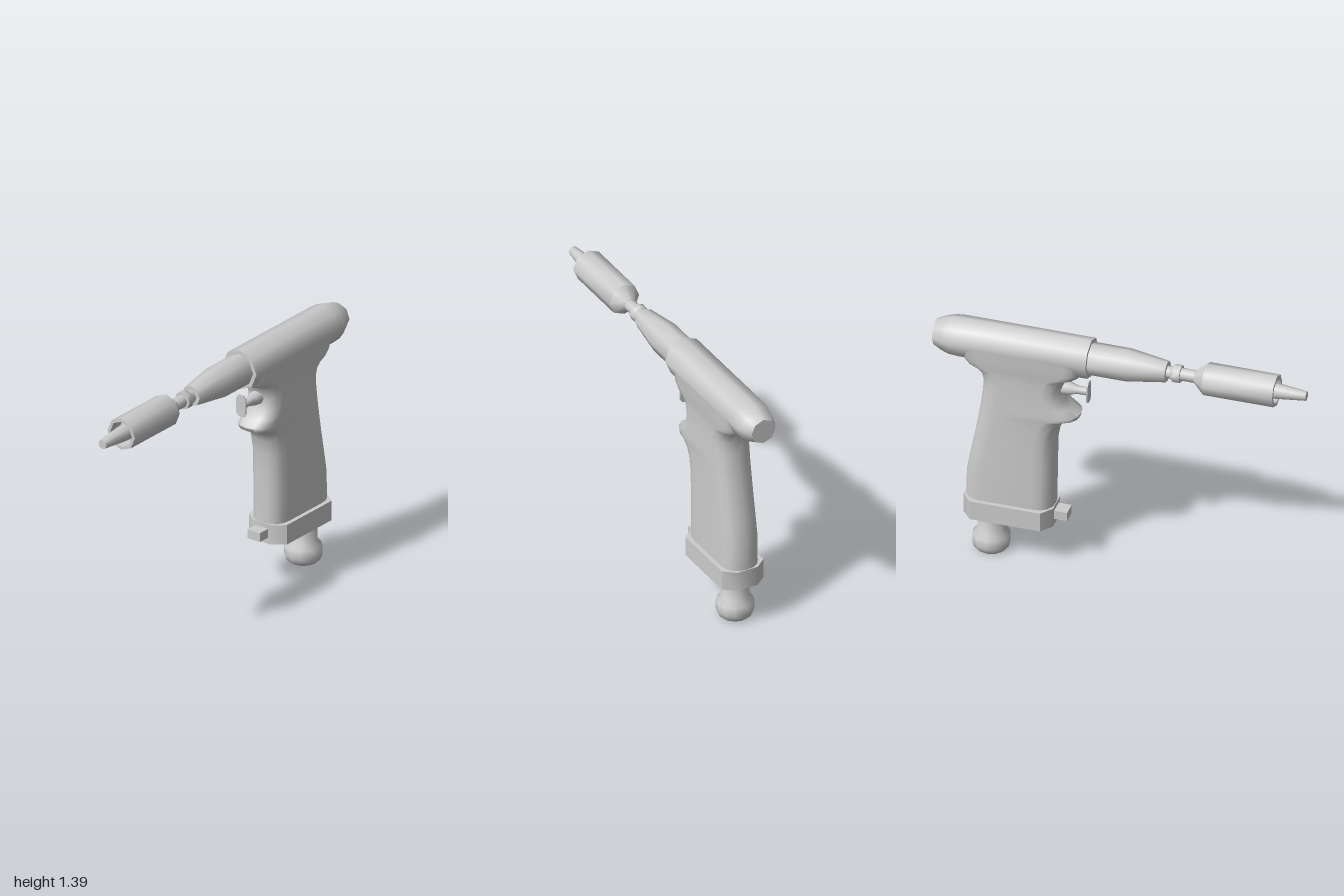
import * as THREE from 'three';
import { toCreasedNormals } from 'three/addons/utils/BufferGeometryUtils.js';

const material = new THREE.MeshStandardMaterial({ color: 0xcccccc });
const AXIS_Y = 1.28;

export function createModel() {
  const group = new THREE.Group();

  const add = (name, geometry, x = 0, y = 0, z = 0, crease = 0.87) => {
    const mesh = new THREE.Mesh(toCreasedNormals(geometry, crease), material);
    mesh.name = name;
    mesh.position.set(x, y, z);
    group.add(mesh);
  };
  const lathe = (points, sides) =>
    new THREE.LatheGeometry(points.map(([r, h]) => new THREE.Vector2(r, h)), sides);
  // Turned part lying along z; points are [radius, z] from back to front
  const turned = (name, points, sides = 8, y = AXIS_Y) =>
    add(name, lathe(points, sides).rotateX(Math.PI / 2), 0, y);
  const polygon = (points) => new THREE.Shape(points.map(([x, y]) => new THREE.Vector2(x, y)));

  // Motor housing with rounded rear
  turned('motorHousing', [[0, -1], [0.07, -1], [0.092, -0.955], [0.106, -0.91], [0.11, -0.86], [0.11, -0.16], [0, -0.16]]);

  // Nose, spindle and collar
  turned('nose', [[0.088, -0.17], [0.088, 0.04], [0.057, 0.25], [0, 0.25]]);
  turned('spindle', [[0.034, 0.24], [0.034, 0.42]]);
  turned('collar', [[0.03, 0.265], [0.042, 0.28], [0.048, 0.285], [0.048, 0.325], [0.03, 0.325]]);

  // Chuck: rear cone, hollow sleeve and tapered bit
  turned('chuckCone', [[0, 0.4], [0.035, 0.4], [0.088, 0.46]]);
  turned('chuckSleeve', [[0.088, 0.46], [0.088, 0.84], [0.07, 0.84], [0.062, 0.77], [0, 0.77]]);
  turned('bit', [[0.045, 0.77], [0.042, 0.84], [0.025, 1], [0, 1]]);

  // Grip: rounded sections [y, front z, back z, front cap depth, half width]
  const sections = [
    [0.3, -0.352, -0.83, 0.1, 0.1], [0.5, -0.35, -0.825, 0.1, 0.1],
    [0.62, -0.348, -0.803, 0.1, 0.1], [0.74, -0.345, -0.78, 0.1, 0.1],
    [0.82, -0.33, -0.766, 0.1, 0.1], [0.865, -0.31, -0.758, 0.1, 0.1],
    [0.895, -0.27, -0.753, 0.11, 0.1], [0.91, -0.22, -0.751, 0.12, 0.1],
    [0.93, -0.215, -0.748, 0.12, 0.1], [0.965, -0.265, -0.744, 0.1, 0.1],
    [1.01, -0.3, -0.738, 0.09, 0.1], [1.07, -0.31, -0.735, 0.09, 0.1],
    [1.12, -0.298, -0.75, 0.09, 0.1], [1.145, -0.275, -0.775, 0.1, 0.1],
    [1.165, -0.22, -0.82, 0.11, 0.1], [1.2, -0.19, -0.85, 0.1, 0.102],
    [1.28, -0.18, -0.87, 0.1, 0.107],
  ];
  add('grip', loft(sections), 0, 0, 0, 1.1);

  // Base plate with chamfered corners
  const base = polygon([
    [-0.06, 0.35], [0.06, 0.35], [0.123, 0.4], [0.123, 0.78],
    [0.06, 0.832], [-0.06, 0.832], [-0.123, 0.78], [-0.123, 0.4],
  ]);
  add('basePlate', new THREE.ExtrudeGeometry(base, { depth: 0.11, bevelEnabled: false }).rotateX(-Math.PI / 2), 0, 0.235);
  add('baseButton', new THREE.BoxGeometry(0.08, 0.05, 0.09), 0, 0.295, -0.325);

  // Hose connector under the base
  add('hoseConnector', lathe([
    [0, 0.004], [0.075, 0.004], [0.092, 0.02], [0.1, 0.045], [0.1, 0.095], [0.075, 0.122], [0.075, 0.25],
  ], 12), 0, 0, -0.7);

  // Trigger stem and thin finger plate
  turned('triggerStem', [[0.04, -0.33], [0.035, -0.27], [0.022, -0.235], [0.022, -0.178]], 8, 1.07);
  const plate = polygon([
    [-0.03, -0.042], [-0.016, -0.06], [0.016, -0.06], [0.03, -0.042],
    [0.03, 0.042], [0.016, 0.06], [-0.016, 0.06], [-0.03, 0.042],
  ]);
  add('triggerPlate', new THREE.ExtrudeGeometry(plate, { depth: 0.008, bevelEnabled: false }), 0, 1.07, -0.18);

  return group;
}

// Skins stacked sections: straight sides with a rounded cap at front and back
function loft(sections, steps = 8) {
  const count = 2 * (steps + 1);
  const positions = [];
  const indices = [];
  for (const [y, front, back, cap, halfWidth] of sections) {
    for (let j = 0; j < count; j++) {
      const isFront = j <= steps;
      const a = ((isFront ? j : j - 1 - steps) / steps - 0.5) * Math.PI;
      const side = Math.sign(a) * Math.abs(Math.sin(a)) ** 0.85 * halfWidth;
      const bulge = Math.abs(Math.cos(a)) ** 0.85 * cap;
      if (isFront) positions.push(side, y, front - cap + bulge);
      else positions.push(-side, y, back + 0.1 - bulge * (0.1 / cap));
    }
  }
  for (let i = 0; i < sections.length - 1; i++) {
    for (let j = 0; j < count; j++) {
      const a = i * count + j;
      const b = i * count + ((j + 1) % count);
      indices.push(a, b, b + count, a, b + count, a + count);
    }
  }
  const geometry = new THREE.BufferGeometry();
  geometry.setAttribute('position', new THREE.Float32BufferAttribute(positions, 3));
  geometry.setIndex(indices);
  return geometry;
}
